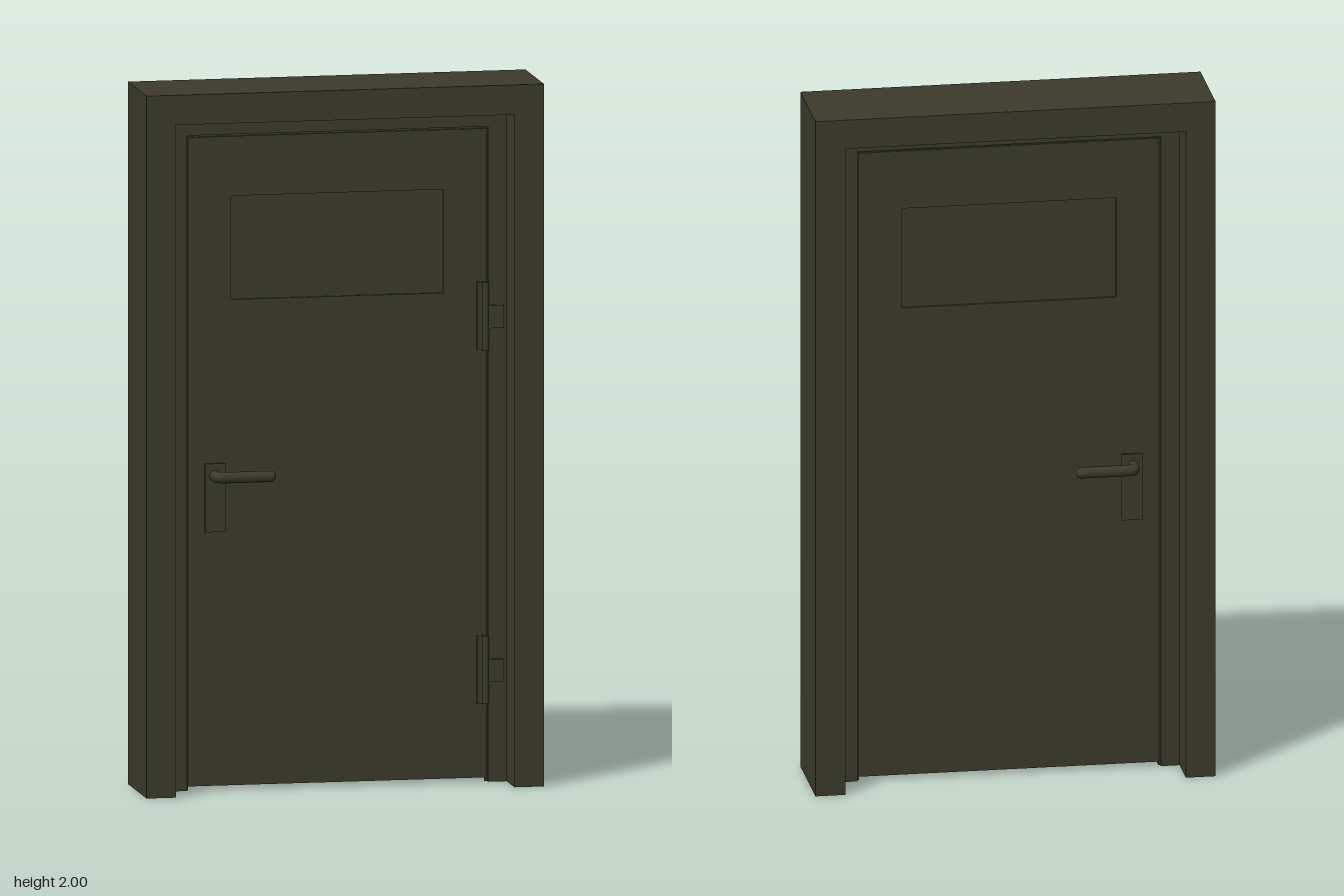
import * as THREE from 'three';

const olive = new THREE.MeshStandardMaterial({ name: 'dark olive paint', color: 0x3b3a2c });

function add(parent, name, geometry, x = 0, y = 0, z = 0) {
  const mesh = new THREE.Mesh(geometry, olive);
  mesh.name = name;
  mesh.position.set(x, y, z);
  parent.add(mesh);
  return mesh;
}

// Box given by its x, y and z limits
function slab(parent, name, x0, x1, y0, y1, z0, z1) {
  return add(parent, name, new THREE.BoxGeometry(x1 - x0, y1 - y0, z1 - z0),
    (x0 + x1) / 2, (y0 + y1) / 2, (z0 + z1) / 2);
}

// Upside-down U (two jambs and a header), centred in z
function archway(parent, name, outer, outerTop, inner, innerTop, depth) {
  const shape = new THREE.Shape([
    [-outer, 0], [-inner, 0], [-inner, innerTop], [inner, innerTop],
    [inner, 0], [outer, 0], [outer, outerTop], [-outer, outerTop],
  ].map(([x, y]) => new THREE.Vector2(x, y)));
  const geometry = new THREE.ExtrudeGeometry(shape, { depth, bevelEnabled: false });
  return add(parent, name, geometry, 0, 0, -depth / 2);
}

function rectangle(Type, x0, x1, y0, y1) {
  return new Type([[x0, y0], [x1, y0], [x1, y1], [x0, y1]].map(([x, y]) => new THREE.Vector2(x, y)));
}

// Door handle for one face; side is +1 for the front, -1 for the back
function handle(parent, side) {
  const group = new THREE.Group();
  group.name = side > 0 ? 'frontHandle' : 'backHandle';
  const plate = [0.016 * side, 0.025 * side].sort((a, b) => a - b);
  slab(group, 'handlePlate', -0.38, -0.32, 0.735, 0.93, ...plate);

  // Neck bending into a horizontal lever
  const path = new THREE.CurvePath();
  const p = (x, z) => new THREE.Vector3(x, 0.895, z * side);
  path.add(new THREE.LineCurve3(p(-0.352, 0.02), p(-0.352, 0.045)));
  path.add(new THREE.QuadraticBezierCurve3(p(-0.352, 0.045), p(-0.352, 0.063), p(-0.33, 0.063)));
  path.add(new THREE.LineCurve3(p(-0.33, 0.063), p(-0.2, 0.063)));
  add(group, 'handleLever', new THREE.TubeGeometry(path, 32, 0.016, 14));
  add(group, 'handleTip', new THREE.SphereGeometry(0.016, 14, 10), -0.2, 0.895, 0.063 * side);
  parent.add(group);
}

// Barrel hinge with a leaf reaching onto the rebate
function hinge(parent, y) {
  const group = new THREE.Group();
  group.name = 'hinge';
  group.position.y = y;
  slab(group, 'hingeDoorLeaf', 0.4, 0.428, -0.097, 0.097, 0.012, 0.024);
  slab(group, 'hingeFrameLeaf', 0.43, 0.476, -0.035, 0.03, 0.02, 0.028);
  add(group, 'hingeBarrel', new THREE.CylinderGeometry(0.009, 0.009, 0.194, 14), 0.424, 0, 0.025);
  parent.add(group);
}

export function createModel() {
  const model = new THREE.Group();
  model.name = 'door';

  // Deep outer frame and the narrower rebate inside it
  archway(model, 'outerFrame', 0.57, 2, 0.485, 1.915, 0.27);
  archway(model, 'innerFrame', 0.486, 1.916, 0.432, 1.866, 0.044);

  // Door leaf with a rectangular panel opening
  const leaf = rectangle(THREE.Shape, -0.428, 0.428, 0.012, 1.86);
  leaf.holes.push(rectangle(THREE.Path, -0.305, 0.305, 1.395, 1.69));
  add(model, 'doorLeaf', new THREE.ExtrudeGeometry(leaf, { depth: 0.034, bevelEnabled: false }), 0, 0, -0.017);
  slab(model, 'recessedPanel', -0.306, 0.306, 1.394, 1.691, -0.01, 0.01);

  // Seal closing the gap between leaf and frame
  archway(model, 'doorSeal', 0.434, 1.868, 0.426, 1.858, 0.02);

  for (const side of [1, -1]) handle(model, side);
  for (const y of [0.32, 1.327]) hinge(model, y);
  return model;
}
